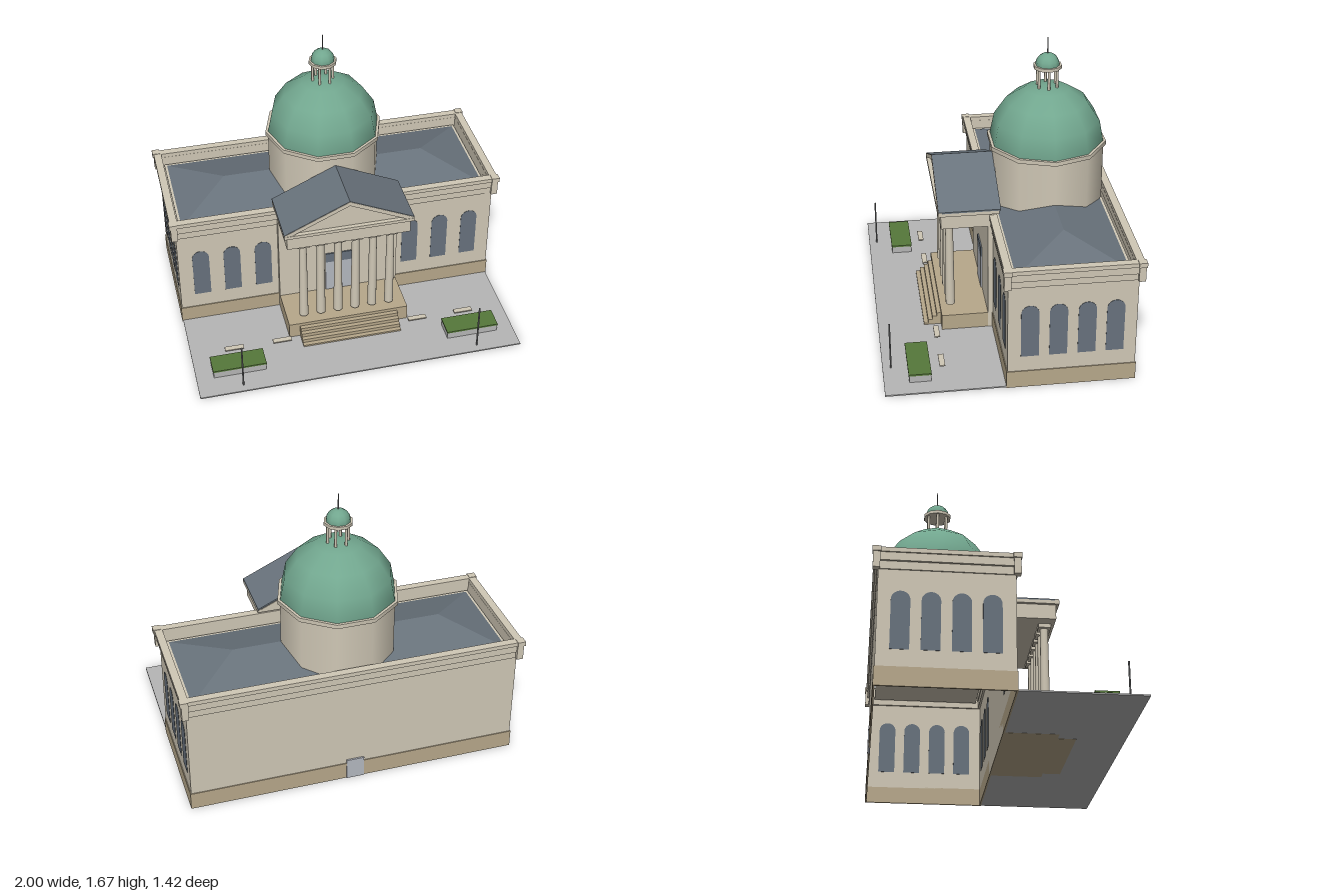
import * as THREE from 'three';

const mat = (name, color) => {
  const m = new THREE.MeshStandardMaterial({ color });
  m.name = name;
  return m;
};

export function createModel() {
  const model = new THREE.Group();
  const stone = mat('cream stone', 0xd0c8b6);
  const base = mat('tan stone', 0xb7a88b);
  const slate = mat('slate roof', 0x69737c);
  const glass = mat('window glass', 0x68727d);
  const copper = mat('green copper', 0x72a78f);
  const paving = mat('grey paving', 0xb6b6b6);
  const doorGrey = mat('door grey', 0xb4b8c0);
  const grass = mat('grass', 0x56783a);
  const metal = mat('metal', 0x78797a);
  const DOME_Z = -0.325;

  const add = (name, geometry, material, x = 0, y = 0, z = 0) => {
    const m = new THREE.Mesh(geometry, material);
    m.name = name;
    m.position.set(x, y, z);
    model.add(m);
    return m;
  };
  // Box given by its limits on each axis
  const box = (name, material, x0, x1, y0, y1, z0, z1) =>
    add(name, new THREE.BoxGeometry(x1 - x0, y1 - y0, z1 - z0), material,
      (x0 + x1) / 2, (y0 + y1) / 2, (z0 + z1) / 2);
  const cyl = (name, material, rTop, rBottom, y0, y1, x, z, sides = 12) => {
    const g = new THREE.CylinderGeometry(rTop, rBottom, y1 - y0, sides);
    g.rotateY(Math.PI / sides);
    return add(name, g, material, x, (y0 + y1) / 2, z);
  };
  const polygon = (pts) => new THREE.Shape(pts.map(([x, y]) => new THREE.Vector2(x, y)));
  const extrude = (shape, depth) =>
    new THREE.ExtrudeGeometry(shape, { depth, bevelEnabled: false, curveSegments: 10 });
  // Rectangular band around the main block, open above and below
  const ring = (name, material, hx, z0, z1, y0, y1, t) => {
    const rect = (d) => [[-hx + d, -z1 + d], [hx - d, -z1 + d], [hx - d, -z0 - d], [-hx + d, -z0 - d]];
    const s = polygon(rect(0));
    s.holes.push(polygon(rect(t)));
    const g = extrude(s, y1 - y0);
    g.rotateX(-Math.PI / 2);
    return add(name, g, material, 0, y0, 0);
  };

  // Main block: walls, plinth, entablature and parapet
  ring('walls', stone, 0.965, -0.68, 0.035, 0.1, 0.66, 0.005);
  ring('plinth', base, 0.97, -0.685, 0.04, 0, 0.105, 0.01);
  ring('frieze', stone, 0.972, -0.687, 0.042, 0.645, 0.69, 0.025);
  ring('cornice', stone, 0.985, -0.697, 0.05, 0.69, 0.735, 0.038);
  ring('parapet', stone, 0.993, -0.705, 0.057, 0.735, 0.76, 0.045);
  for (const sx of [-1, 1]) {
    for (const z of [-0.69, 0.04]) {
      const post = add('cornerPost', new THREE.BoxGeometry(0.038, 0.115, 0.038), stone, sx * 0.973, 0.7025, z);
      post.name = 'cornerPost';
      add('cornerCap', new THREE.BoxGeometry(0.046, 0.028, 0.046), stone, sx * 0.977, 0.749, z);
    }
  }

  // Hipped roof on a thin slab
  box('roofSlab', stone, -0.935, 0.935, 0.675, 0.685, -0.65, 0);
  const [a, b, c, d, r, s] = [
    [-0.92, 0.686, -0.015], [0.92, 0.686, -0.015], [0.92, 0.686, -0.635],
    [-0.92, 0.686, -0.635], [-0.615, 0.78, DOME_Z], [0.615, 0.78, DOME_Z]];
  const hip = new THREE.BufferGeometry();
  hip.setAttribute('position', new THREE.Float32BufferAttribute(
    [a, b, s, a, s, r, b, c, s, c, d, r, c, r, s, d, a, r].flat(), 3));
  hip.computeVertexNormals();
  add('hipRoof', hip, slate);

  // Arched windows, seen from both sides of the thin walls
  const arch = new THREE.Shape();
  arch.moveTo(-0.05, 0);
  arch.lineTo(0.05, 0);
  arch.lineTo(0.05, 0.275);
  arch.absarc(0, 0.275, 0.05, 0, Math.PI, false);
  arch.closePath();
  const archGeo = extrude(arch, 0.009);
  archGeo.translate(0, 0, -0.0045);
  for (const sx of [-1, 1]) {
    for (const x of [0.455, 0.643, 0.83]) add('frontWindow', archGeo, glass, sx * x, 0.2, 0.0325);
    for (const z of [-0.088, -0.245, -0.403, -0.56]) {
      add('sideWindow', archGeo, glass, sx * 0.9625, 0.2, z).rotation.y = Math.PI / 2;
    }
  }

  // Central bay and doors
  box('centralBay', stone, -0.365, 0.365, 0.009, 0.77, 0.03, 0.065);
  box('frontDoor', doorGrey, -0.08, 0.08, 0.105, 0.32, 0.065, 0.073);
  box('transom', glass, -0.08, 0.08, 0.32, 0.385, 0.065, 0.073);
  box('backDoor', doorGrey, -0.052, 0.052, 0, 0.13, -0.69, -0.676);

  // Porch floor, steps and columns
  box('porchFloor', base, -0.365, 0.365, 0, 0.105, 0.04, 0.337);
  for (let i = 0; i < 4; i++) {
    box('step', base, -0.3, 0.3, 0, 0.085 - i * 0.022, 0.33, 0.362 + i * 0.0255);
  }
  for (let i = 0; i < 6; i++) {
    const x = -0.2625 + i * 0.105;
    cyl('column', stone, 0.022, 0.027, 0.128, 0.668, x, 0.277, 16);
    box('capital', stone, x - 0.036, x + 0.036, 0.665, 0.69, 0.241, 0.313);
  }

  // Entablature, pediment and gable roof
  box('porchEntablature', stone, -0.365, 0.365, 0.688, 0.775, 0.06, 0.333);
  box('porchCornice', stone, -0.383, 0.383, 0.775, 0.795, 0, 0.35);
  add('pediment', extrude(polygon([[-0.36, 0.795], [0.36, 0.795], [0, 0.96]]), 0.325), stone, 0, 0, 0);
  const chevron = (top, t) => polygon([
    [-0.383, top - 0.178], [-0.383, top - 0.178 - t], [0, top - t],
    [0.383, top - 0.178 - t], [0.383, top - 0.178], [0, top]]);
  add('rakingCornice', extrude(chevron(0.979, 0.027), 0.022), stone, 0, 0, 0.326);
  add('gableRoof', extrude(chevron(0.982, 0.01), 0.354), slate, 0, 0, -0.008);

  // Drum and dome
  const domeGeo = (radius) => new THREE.SphereGeometry(radius, 10, 4, 0, Math.PI * 2, 0, Math.PI / 2);
  cyl('drum', stone, 0.335, 0.335, 0.69, 1.04, 0, DOME_Z, 10);
  cyl('drumCornice', stone, 0.35, 0.35, 1.035, 1.06, 0, DOME_Z, 10);
  add('dome', domeGeo(0.335), copper, 0, 1.056, DOME_Z);

  // Lantern
  for (let i = 0; i < 6; i++) {
    const t = i * Math.PI / 3;
    cyl('lanternColumn', stone, 0.008, 0.008, 1.36, 1.495, 0.06 * Math.cos(t), DOME_Z + 0.06 * Math.sin(t), 8);
  }
  cyl('lanternCornice', stone, 0.082, 0.082, 1.493, 1.512, 0, DOME_Z, 10);
  add('lanternDome', domeGeo(0.07), copper, 0, 1.512, DOME_Z);
  cyl('spire', metal, 0.003, 0.004, 1.575, 1.675, 0, DOME_Z, 8);

  // Forecourt with planters, benches and lamp poles
  box('forecourt', paving, -0.965, 0.965, 0.001, 0.009, 0.035, 0.71);
  for (const sx of [-1, 1]) {
    add('planter', new THREE.BoxGeometry(0.31, 0.044, 0.122), paving, sx * 0.708, 0.03, 0.508);
    add('lawn', new THREE.BoxGeometry(0.316, 0.01, 0.128), grass, sx * 0.708, 0.056, 0.508);
    for (const x of [0.418, 0.708]) {
      add('bench', new THREE.BoxGeometry(0.112, 0.007, 0.032), stone, sx * x, 0.034, 0.375);
    }
    cyl('pole', metal, 0.005, 0.005, 0.009, 0.3, sx * 0.706, 0.662, 8);
  }
  return model;
}
